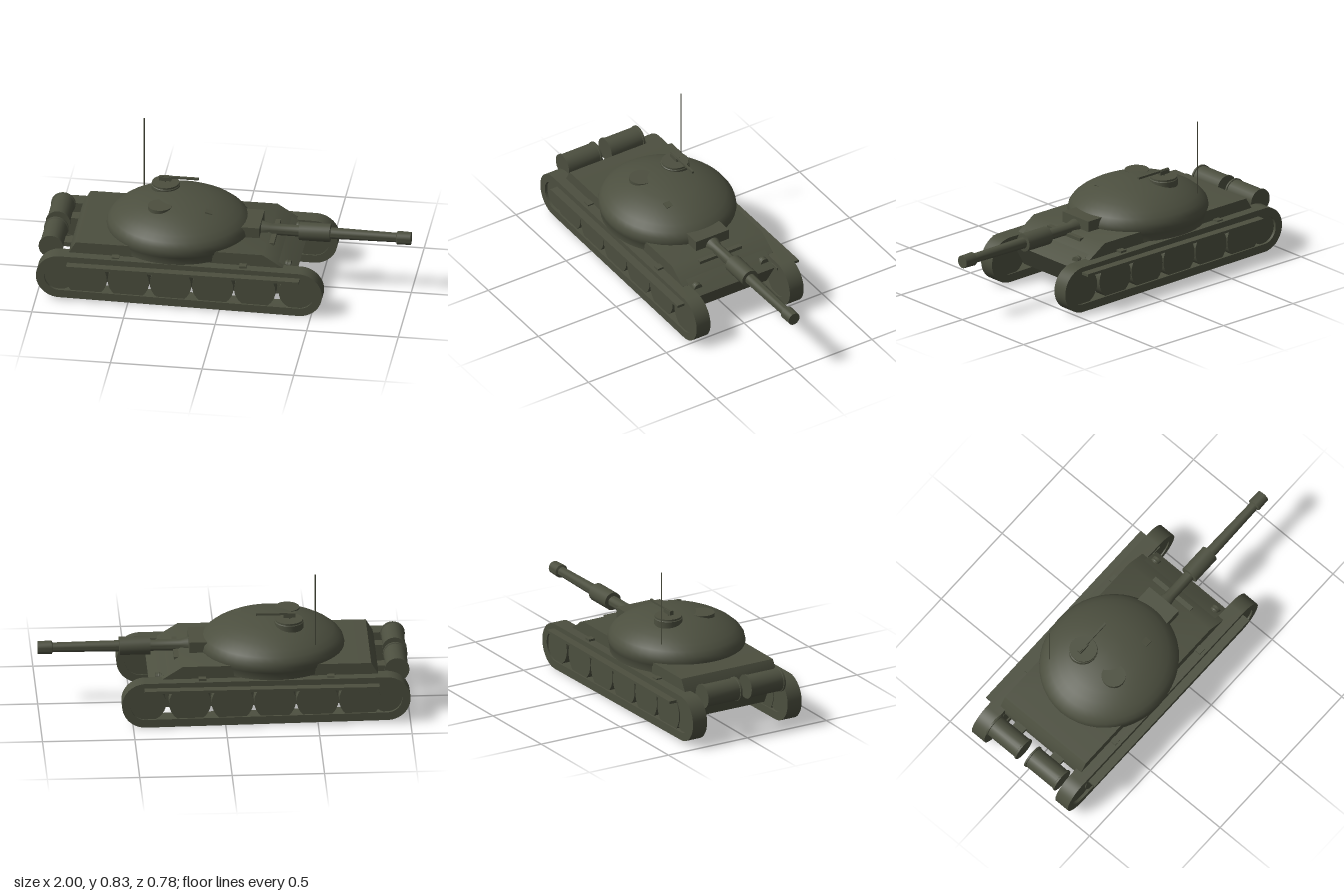
import * as THREE from 'three';
import { toCreasedNormals } from 'three/addons/utils/BufferGeometryUtils.js';

export function createModel() {
  const model = new THREE.Group();
  const paint = new THREE.MeshStandardMaterial({ color: 0x4c4f3f });
  paint.name = 'olive paint';

  const add = (name, geo, x = 0, y = 0, z = 0, parent = model) => {
    const m = new THREE.Mesh(geo, paint);
    m.name = name;
    m.position.set(x, y, z);
    parent.add(m);
    return m;
  };
  const box = (name, x0, x1, y0, y1, z0, z1, parent) =>
    add(name, new THREE.BoxGeometry(x1 - x0, y1 - y0, z1 - z0), (x0 + x1) / 2, (y0 + y1) / 2, (z0 + z1) / 2, parent);
  // side profile in x and y, extruded from z0 to z1
  const slab = (name, shape, z0, z1, parent) => {
    const g = new THREE.ExtrudeGeometry(shape, { depth: z1 - z0, bevelEnabled: false, curveSegments: 16 });
    return add(name, toCreasedNormals(g, 0.6), 0, 0, z0, parent);
  };
  const outline = pts => new THREE.Shape(pts.map(p => new THREE.Vector2(...p)));
  const turned = (name, pts, seg = 24, parent = model) =>
    add(name, toCreasedNormals(new THREE.LatheGeometry(pts.map(p => new THREE.Vector2(...p)), seg), 0.6), 0, 0, 0, parent);

  // Hull: narrow tub between the tracks, wide casemate above
  slab('hullTub', outline([[-0.76, 0.08], [0.33, 0.08], [0.41, 0.215], [0.23, 0.329], [-0.78, 0.329], [-0.83, 0.215]]), -0.254, 0.254);
  slab('upperHull', outline([[-0.83, 0.215], [0.34, 0.215], [0.34, 0.259], [0.23, 0.33], [-0.79, 0.33], [-0.83, 0.262]]), -0.29, 0.29);
  box('splashBar', 0.23, 0.27, 0.3, 0.322, -0.135, 0.135);

  // Running gear, one side after the other
  const runLoop = (path, r) => {
    path.absarc(-0.874, 0.141, r - 0.003, Math.PI / 2, Math.PI * 1.5, false);
    path.absarc(0.432, 0.129, r, -Math.PI / 2, Math.PI / 2, false);
    path.closePath();
    return path;
  };
  for (const side of [1, -1]) {
    const gear = new THREE.Group();
    gear.name = side > 0 ? 'leftRunningGear' : 'rightRunningGear';
    model.add(gear);
    const span = (a, b) => (side > 0 ? [a, b] : [-b, -a]);

    const band = runLoop(new THREE.Shape(), 0.129);
    band.holes.push(runLoop(new THREE.Path(), 0.084));
    slab('track', band, ...span(0.255, 0.344), gear);

    const wheel = (name, x, y, r, z0, z1) => {
      const w = add(name, new THREE.CylinderGeometry(r, r, z1 - z0, 28), x, y, side * (z0 + z1) / 2, gear);
      w.rotation.x = Math.PI / 2;
    };
    for (let i = 0; i < 6; i++) wheel('roadWheel', -0.727 + i * 0.23, 0.135, i === 5 ? 0.1 : 0.113, 0.262, 0.334);
    wheel('rearWheel', -0.874, 0.141, 0.084, 0.265, 0.328);

    box('fender', -0.83, 0.44, 0.217, 0.232, ...span(0.25, 0.39), gear);
    for (const x of [-0.57, 0.125]) box('fenderBracket', x - 0.02, x + 0.02, 0.25, 0.272, ...span(0.288, 0.326), gear);

    // Headlight
    const lamp = add('headlight', new THREE.CylinderGeometry(0.025, 0.025, 0.03, 16, 1, false, 0, Math.PI), 0.36, 0.24, side * 0.213, gear);
    lamp.rotation.z = Math.PI / 2;
    lamp.scale.z = 1;
    const body = add('headlightBody', new THREE.SphereGeometry(0.025, 16, 10), 0.355, 0.242, side * 0.213, gear);
    body.scale.x = 0.7;

    // Fuel drum with end rims
    const drum = turned('fuelDrum', [[0, -0.108], [0.067, -0.108], [0.067, -0.098], [0.062, -0.096],
      [0.062, 0.096], [0.067, 0.098], [0.067, 0.108], [0, 0.108]], 24, gear);
    drum.rotation.x = Math.PI / 2;
    drum.position.set(-0.932, 0.268, side * 0.137);
    box('drumBracket', -0.9, -0.79, 0.235, 0.26, ...span(0.1, 0.17), gear);
  }

  // Turret: oval dome on a skirt
  const turret = turned('turret', [[0, 0.27], [0.355, 0.27], [0.357, 0.305], [0.361, 0.312], [0.366, 0.34], [0.36, 0.368],
    [0.342, 0.394], [0.312, 0.42], [0.27, 0.445], [0.22, 0.468], [0.16, 0.487], [0.08, 0.5], [0, 0.505]], 44);
  turret.position.x = -0.266;
  turret.scale.x = 1.075;

  // Roof fittings
  const cupola = turned('cupola', [[0, 0.44], [0.078, 0.44], [0.078, 0.508], [0.074, 0.511], [0.074, 0.521], [0, 0.521]]);
  cupola.position.set(-0.355, 0, -0.107);
  const hatch = turned('loaderHatch', [[0, 0.44], [0.066, 0.44], [0.066, 0.496], [0, 0.496]]);
  hatch.position.set(-0.355, 0, 0.11);
  box('machineGunMount', -0.39, -0.325, 0.531, 0.553, -0.118, -0.096);
  add('mountPin', new THREE.CylinderGeometry(0.004, 0.004, 0.02, 8), -0.357, 0.526, -0.107);
  box('machineGunBarrel', -0.39, -0.175, 0.545, 0.557, -0.113, -0.101);
  const scope = box('periscope', -0.11, -0.07, 0.45, 0.478, 0.09, 0.13);
  scope.rotation.z = -0.25;
  add('antenna', new THREE.CylinderGeometry(0.003, 0.003, 0.415, 8), -0.49, 0.627, -0.231);

  // Gun and mantlet
  box('mantlet', 0.08, 0.185, 0.315, 0.39, -0.105, 0.105);
  const gun = turned('gun', [[0, 0.1], [0.042, 0.1], [0.042, 0.19], [0.031, 0.23], [0.031, 0.39], [0.05, 0.392], [0.05, 0.56],
    [0.031, 0.562], [0.026, 0.92], [0.037, 0.925], [0.035, 1], [0, 1]]);
  gun.rotation.z = -Math.PI / 2;
  gun.position.y = 0.334;

  return model;
}
